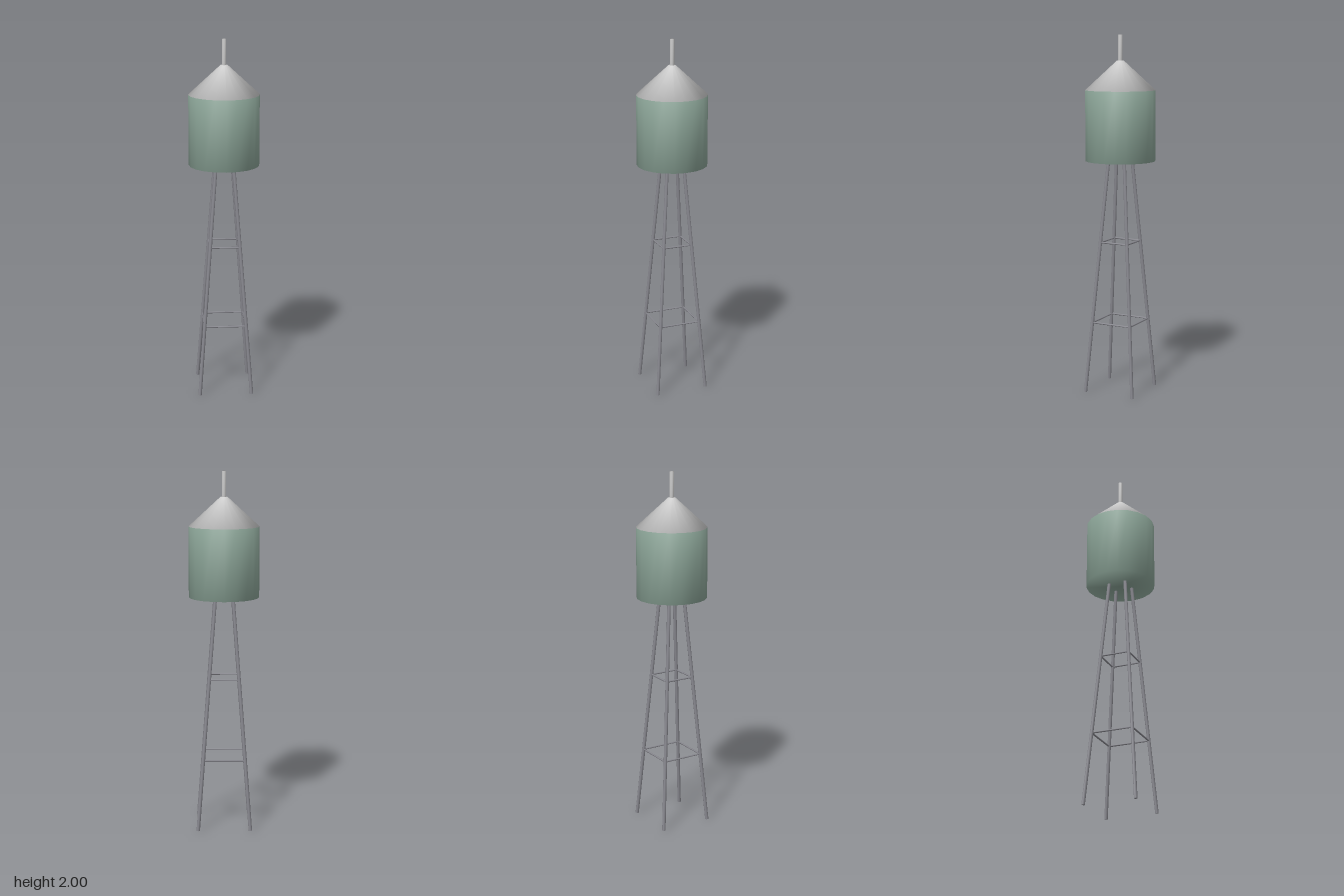
import * as THREE from 'three';
import { mergeVertices } from 'three/addons/utils/BufferGeometryUtils.js';

const grey = new THREE.MeshStandardMaterial({ color: 0xcccccc });
const steel = new THREE.MeshStandardMaterial({ color: 0x88888f });
const green = new THREE.MeshStandardMaterial({ color: 0x8aa396 });

// Share normals between sides and caps for soft shading over the rims
function soften(geometry) {
  geometry.deleteAttribute('normal');
  geometry.deleteAttribute('uv');
  const merged = mergeVertices(geometry, 1e-5);
  merged.computeVertexNormals();
  return merged;
}

// Upright round part between two heights
function drum(name, rTop, rBottom, y0, y1, sides, material) {
  const geometry = soften(new THREE.CylinderGeometry(rTop, rBottom, y1 - y0, sides));
  const mesh = new THREE.Mesh(geometry, material);
  mesh.name = name;
  mesh.position.y = (y0 + y1) / 2;
  return mesh;
}

// Round bar between two points
function bar(name, a, b, radius, sides) {
  const axis = b.clone().sub(a);
  const geometry = soften(new THREE.CylinderGeometry(radius, radius, axis.length(), sides));
  const mesh = new THREE.Mesh(geometry, steel);
  mesh.name = name;
  mesh.position.copy(a).add(b).multiplyScalar(0.5);
  mesh.quaternion.setFromUnitVectors(new THREE.Vector3(0, 1, 0), axis.normalize());
  return mesh;
}

export function createModel() {
  const tower = new THREE.Group();
  tower.name = 'waterTower';

  // Tank, conical roof and vent pipe
  tower.add(drum('tank', 0.195, 0.195, 1.31, 1.7, 20, green));
  tower.add(drum('roof', 0.02, 0.195, 1.7, 1.86, 20, grey));
  tower.add(drum('ventPipe', 0.012, 0.012, 1.85, 2, 10, grey));

  // Four legs leaning inward, with square rings of braces
  const corners = [[1, 1], [1, -1], [-1, -1], [-1, 1]];
  const legPoint = ([sx, sz], y) => {
    const d = 0.147 - 0.075 * y;
    return new THREE.Vector3(sx * d, y, sz * d);
  };
  corners.forEach((corner, i) => {
    tower.add(bar('leg', legPoint(corner, 0.001), legPoint(corner, 1.315), 0.01, 8));
    const next = corners[(i + 1) % 4];
    for (const y of [0.4, 0.855]) {
      tower.add(bar('brace', legPoint(corner, y), legPoint(next, y), 0.005, 6));
    }
  });

  return tower;
}
